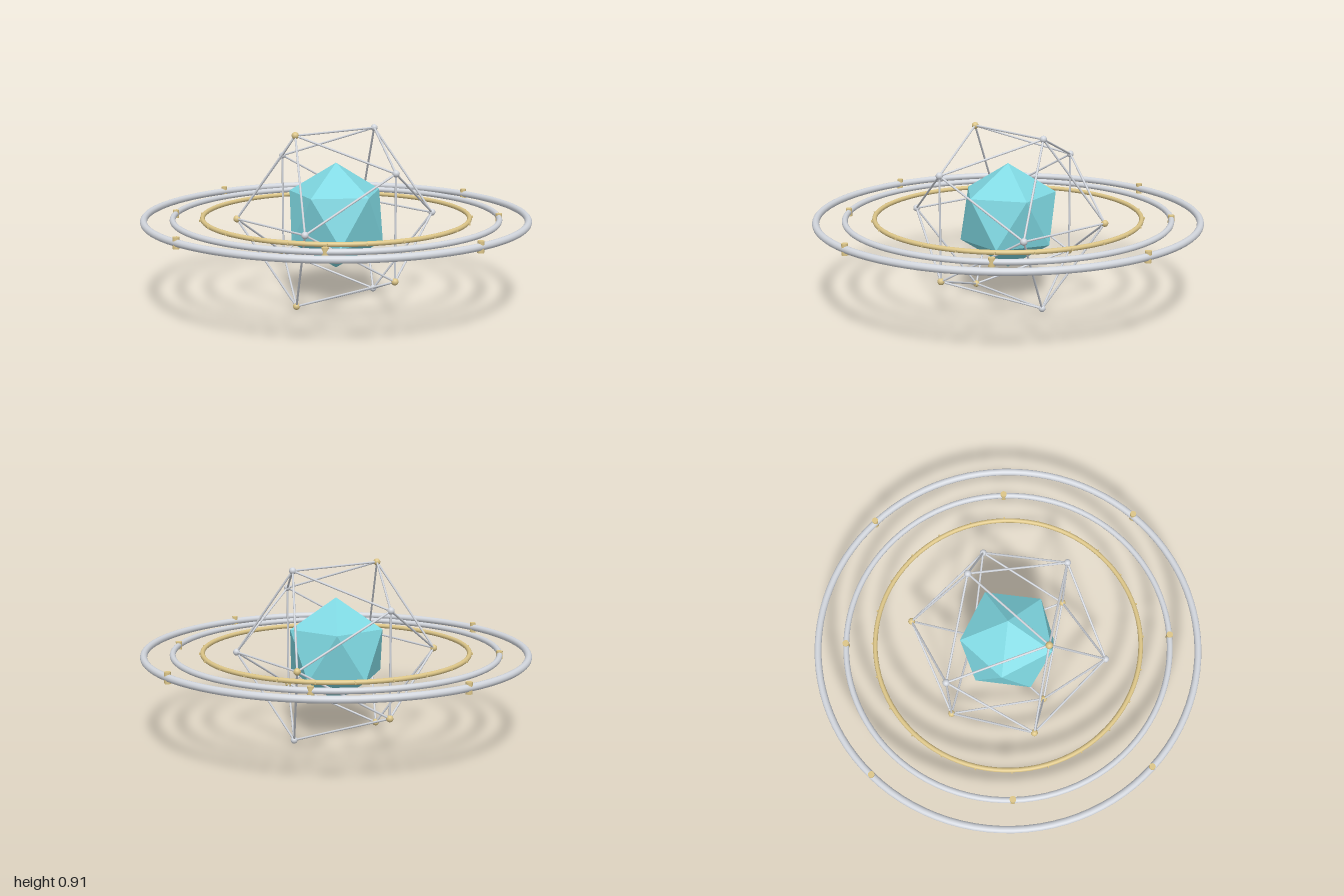
import * as THREE from 'three';

export function createModel() {
  const root = new THREE.Group();
  root.name = 'ringedCore';
  const mat = (name, color, extra = {}) => {
    const m = new THREE.MeshStandardMaterial({ color, ...extra });
    m.name = name;
    return m;
  };
  const teal = mat('teal crystal', 0x7fd8e2, { flatShading: true });
  const silver = mat('silver', 0xd2d6dd);
  const gold = mat('gold', 0xdcc587);

  const body = new THREE.Group();
  body.name = 'body';
  body.position.y = 0.455;
  root.add(body);
  const add = (name, geo, material, parent = body) => {
    const mesh = new THREE.Mesh(geo, material);
    mesh.name = name;
    parent.add(mesh);
    return mesh;
  };

  // Solid core, standing on one corner
  const core = add('core', new THREE.IcosahedronGeometry(0.276, 0), teal);
  core.rotation.z = -Math.atan(2 / (1 + Math.sqrt(5)));

  // Open cage: twelve nodes on three golden rectangles
  const cage = new THREE.Group();
  cage.name = 'cage';
  body.add(cage);
  const a = 0.269, b = 0.436;
  const nodes = [];
  for (const s of [-1, 1]) for (const t of [-1, 1]) {
    nodes.push({ p: new THREE.Vector3(s * b, t * a, 0), gilt: t < 0 });
    nodes.push({ p: new THREE.Vector3(0, s * b, t * a), gilt: t > 0 });
    nodes.push({ p: new THREE.Vector3(t * a, 0, s * b), gilt: t < 0 });
  }
  const nodeGeo = new THREE.SphereGeometry(0.018, 16, 12);
  for (const n of nodes) {
    add('cageNode', nodeGeo, n.gilt ? gold : silver, cage).position.copy(n.p);
  }

  // Struts between neighbouring nodes
  const strutGeo = new THREE.CylinderGeometry(0.0055, 0.0055, 2 * a, 8);
  const up = new THREE.Vector3(0, 1, 0);
  nodes.forEach((n, i) => {
    for (const m of nodes.slice(i + 1)) {
      const d = m.p.clone().sub(n.p);
      if (d.length() > 2.2 * a) continue;
      const strut = add('cageStrut', strutGeo, silver, cage);
      strut.position.copy(n.p).add(m.p).multiplyScalar(0.5);
      strut.quaternion.setFromUnitVectors(up, d.normalize());
    }
  });

  // Flat concentric rings
  const ring = (name, radius, tube, material) => {
    const geo = new THREE.TorusGeometry(radius, tube, 12, 96).rotateX(Math.PI / 2);
    add(name, geo, material);
  };
  ring('outerRing', 0.981, 0.018, silver);
  ring('middleRing', 0.836, 0.015, silver);
  ring('innerRing', 0.686, 0.012, gold);

  // Parts repeated around a ring
  const around = (name, geo, count, radius, start) => {
    for (let i = 0; i < count; i++) {
      const angle = start + (i / count) * Math.PI * 2;
      const mesh = add(name, geo, gold);
      mesh.position.set(Math.cos(angle) * radius, 0, Math.sin(angle) * radius);
      mesh.rotation.y = -angle;
    }
  };
  around('outerPin', new THREE.CylinderGeometry(0.016, 0.016, 0.056, 16), 4, 0.981, 0);
  around('middlePin', new THREE.CylinderGeometry(0.0165, 0.0165, 0.041, 16), 4, 0.836, Math.PI / 4);
  around('innerTick', new THREE.BoxGeometry(0.014, 0.012, 0.006), 24, 0.697, 0);

  return root;
}
